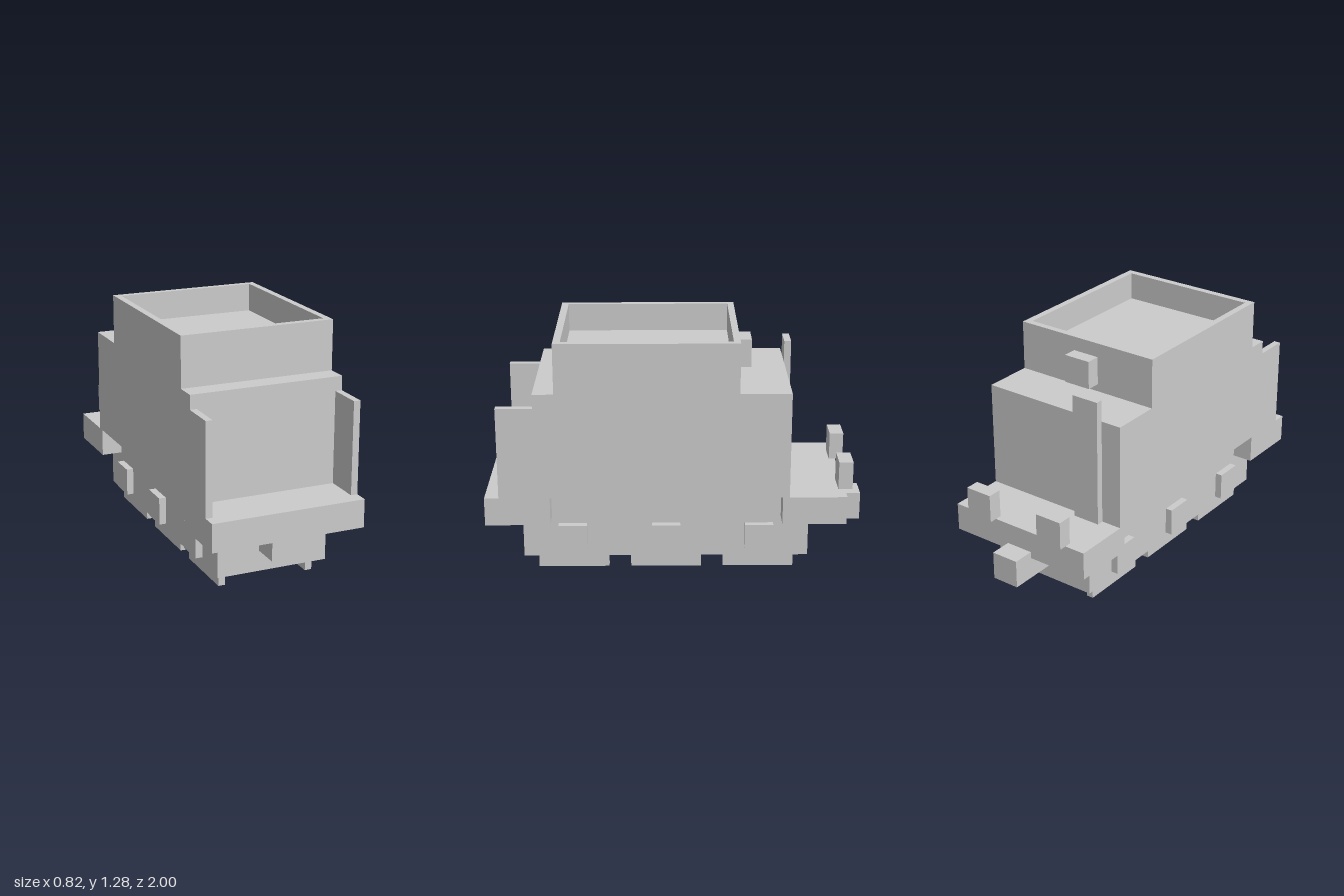
import * as THREE from 'three';

const W = 0.4125; // half width of the body

export function createModel() {
  const model = new THREE.Group();
  const mat = new THREE.MeshStandardMaterial({ color: 0xcccccc, flatShading: true });

  const add = (name, geo) => {
    const mesh = new THREE.Mesh(geo, mat);
    mesh.name = name;
    model.add(mesh);
    return mesh;
  };
  // Box given by its limits on each axis
  const box = (name, x0, x1, y0, y1, z0, z1) => {
    const mesh = add(name, new THREE.BoxGeometry(x1 - x0, y1 - y0, z1 - z0));
    mesh.position.set((x0 + x1) / 2, (y0 + y1) / 2, (z0 + z1) / 2);
    return mesh;
  };
  // The same box on the left and the right
  const pair = (name, x0, x1, ...rest) => {
    box(name + 'Left', x0, x1, ...rest);
    box(name + 'Right', -x1, -x0, ...rest);
  };

  // Hull: side profile (z, y) with end decks, stepped roof and a notch over the axles
  const profile = [
    [1, 0.305], [1, 0.455], [0.735, 0.455], [0.735, 1.02], [0.625, 1.02], [0.625, 1.135],
    [-0.32, 1.135], [-0.32, 1.02], [-0.585, 1.02], [-0.585, 0.455], [-0.885, 0.455],
    [-0.885, 0.305], [-0.55, 0.305], [-0.55, 0.455], [0.66, 0.455], [0.66, 0.305],
  ];
  const side = new THREE.Shape(profile.map(([z, y]) => new THREE.Vector2(-z, y)));
  const hull = new THREE.ExtrudeGeometry(side, { depth: 2 * W, bevelEnabled: false });
  hull.translate(0, 0, -W).rotateY(Math.PI / 2);
  add('hull', hull);

  // Open rim around the sunken roof
  const rect = (P, x, z0, z1) => new P([
    new THREE.Vector2(-x, -z1), new THREE.Vector2(x, -z1),
    new THREE.Vector2(x, -z0), new THREE.Vector2(-x, -z0),
  ]);
  const rimShape = rect(THREE.Shape, W, -0.32, 0.625);
  rimShape.holes.push(rect(THREE.Path, W - 0.036, -0.285, 0.587));
  const rim = new THREE.ExtrudeGeometry(rimShape, { depth: 0.15, bevelEnabled: false });
  rim.rotateX(-Math.PI / 2).translate(0, 1.135, 0);
  add('roofRim', rim);

  // Walls beside the front platform
  pair('frontSideWall', W - 0.036, W, 0.455, 0.945, 0.735, 0.925);

  // Undercarriage
  box('chassis', -0.3, 0.3, 0.08, 0.455, -0.697, 0.813);
  for (const z of [0.55, 0.057, -0.435]) {
    pair('wheel', 0.225, 0.2625, 0, 0.08, z - 0.188, z + 0.188);
    pair('axleBox', 0.3, 0.338, 0.118, 0.267, z - 0.075, z + 0.075);
  }

  // Couplings
  box('frontCoupling', -0.075, 0.075, 0.19, 0.34, 0.813, 0.963);
  box('rearCoupling', -0.075, 0.075, 0.19, 0.34, -1, -0.697);

  // Rear fittings
  pair('rearLamp', 0.15, 0.3, 0.455, 0.605, -0.925, -0.85);
  box('rearPipe', -0.3, -0.15, 0.455, 1.135, -0.622, -0.585);
  box('headlamp', -0.075, 0.075, 1.06, 1.21, -0.395, -0.32);

  return model;
}
